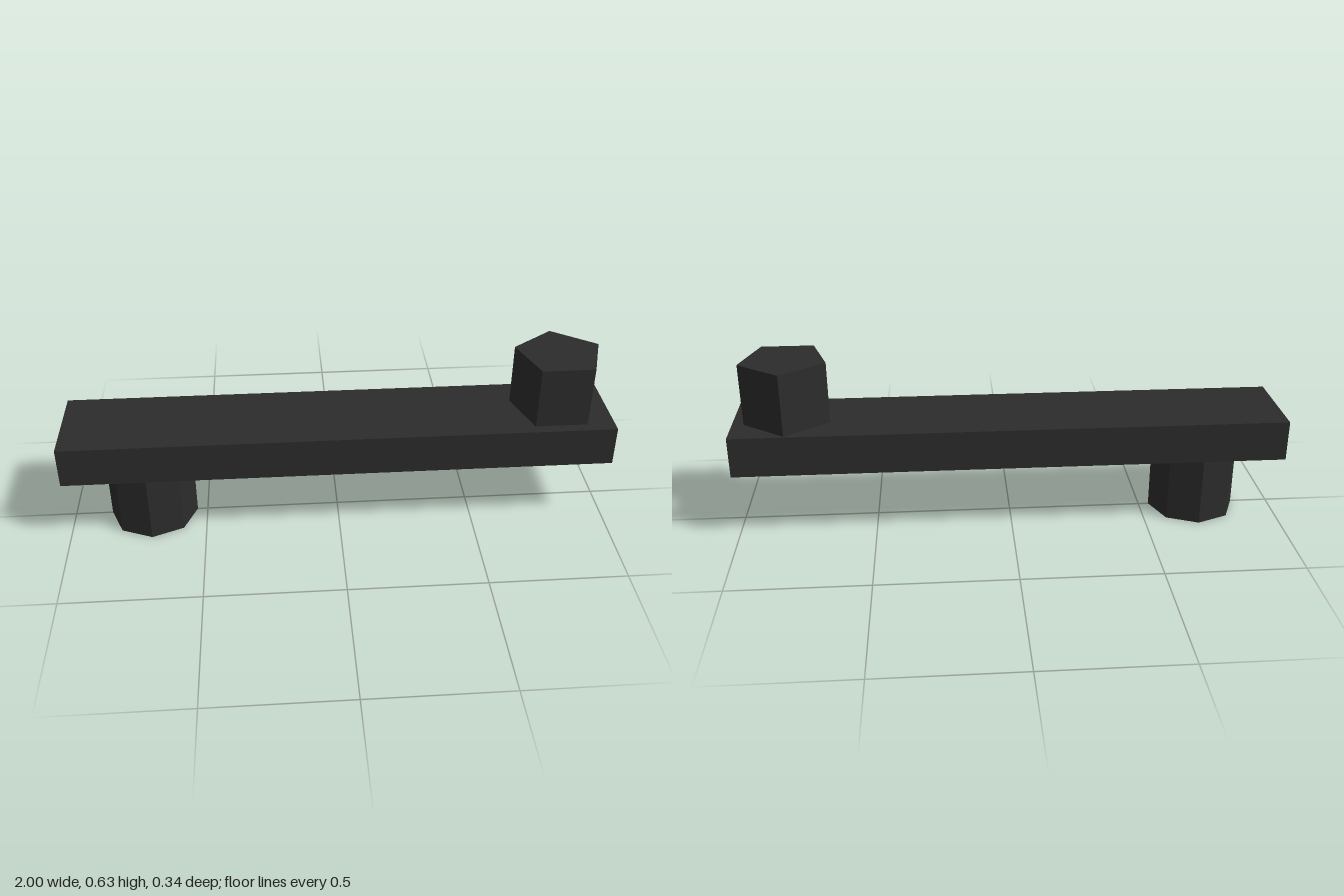
import * as THREE from 'three';

export function createModel() {
  const model = new THREE.Group();
  const charcoal = new THREE.MeshStandardMaterial({ color: 0x2c2c2c, flatShading: true });
  charcoal.name = 'charcoal';

  function add(name, geometry, x, y) {
    const mesh = new THREE.Mesh(geometry, charcoal);
    mesh.name = name;
    mesh.position.set(x, y, 0);
    model.add(mesh);
    return mesh;
  }

  // Upright prism from y0 to y1
  function addPrism(name, sides, x, y0, y1) {
    const geometry = new THREE.CylinderGeometry(0.162, 0.162, y1 - y0, sides);
    return add(name, geometry, x, (y0 + y1) / 2);
  }

  // Flat crank arm
  add('arm', new THREE.BoxGeometry(2, 0.149, 0.338), 0, 0.3315);

  // Five-sided peg on top, one corner pointing back
  addPrism('upperPeg', 5, 0.804, 0.406, 0.635).rotation.y = Math.PI;

  // Eight-sided peg underneath
  addPrism('lowerPeg', 8, -0.7, 0, 0.257);

  return model;
}
